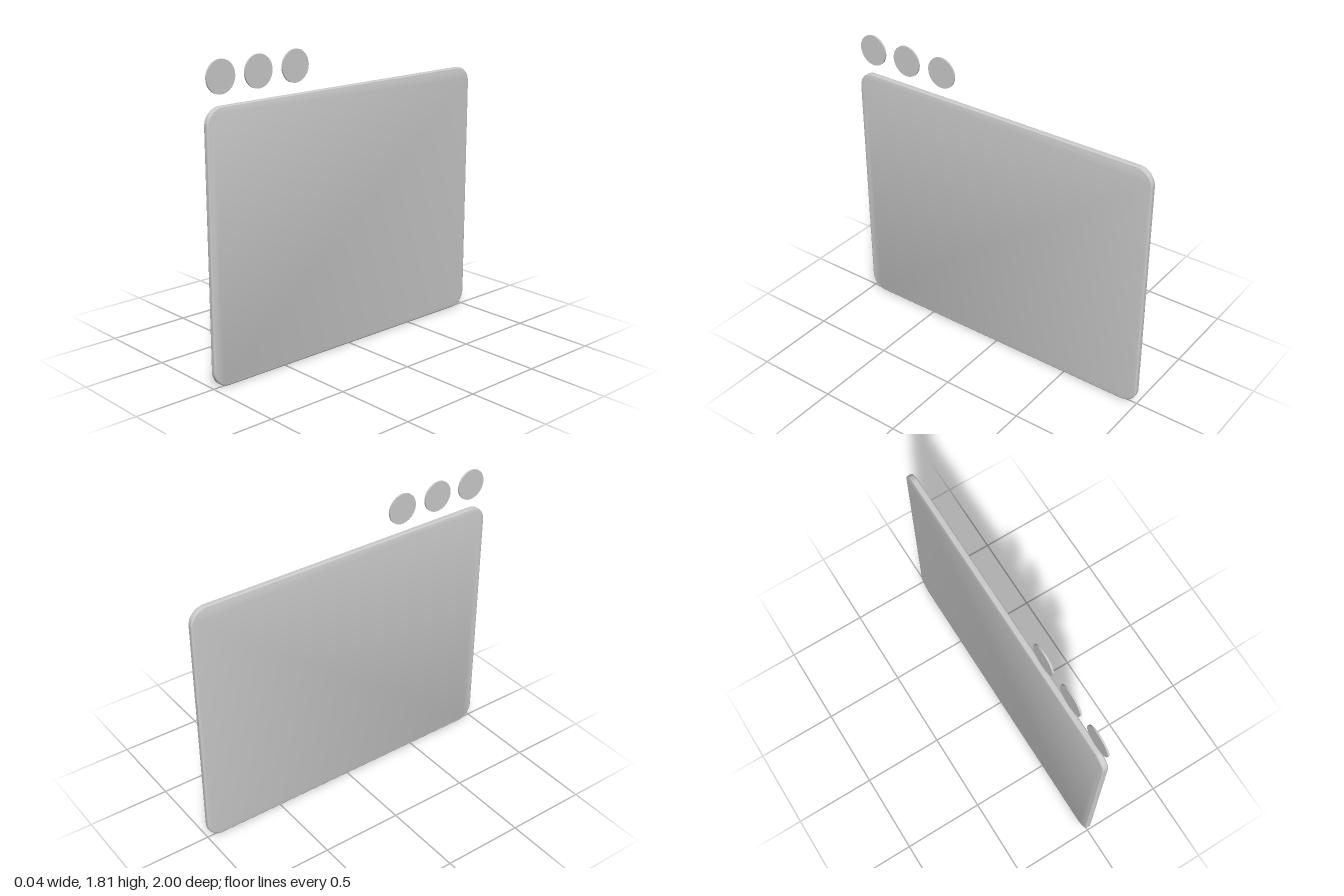
import * as THREE from 'three';
import { toCreasedNormals } from 'three/addons/utils/BufferGeometryUtils.js';

const material = new THREE.MeshStandardMaterial({ color: 0xcccccc });

// Rectangle with rounded corners, standing on y = 0
function roundedRect(width, height, radius, inset) {
  const x = width / 2 - inset, y0 = inset, y1 = height - inset, r = radius - inset;
  const shape = new THREE.Shape();
  shape.absarc(x - r, y0 + r, r, -Math.PI / 2, 0);
  shape.absarc(x - r, y1 - r, r, 0, Math.PI / 2);
  shape.absarc(-x + r, y1 - r, r, Math.PI / 2, Math.PI);
  shape.absarc(-x + r, y0 + r, r, Math.PI, Math.PI * 1.5);
  shape.closePath();
  return shape;
}

export function createModel() {
  const model = new THREE.Group();

  // Thin upright panel with softened edges, broad faces towards +x and -x
  const thickness = 0.036, bevel = 0.01;
  let panelGeometry = new THREE.ExtrudeGeometry(roundedRect(2, 1.565, 0.1, bevel), {
    depth: thickness - 2 * bevel,
    bevelSize: bevel,
    bevelThickness: bevel,
    bevelSegments: 4,
    curveSegments: 12,
  });
  panelGeometry.translate(0, 0, bevel - thickness / 2).rotateY(-Math.PI / 2);
  panelGeometry = toCreasedNormals(panelGeometry, Math.PI / 5);
  const panel = new THREE.Mesh(panelGeometry, material);
  panel.name = 'panel';
  model.add(panel);

  // Row of three thin round buttons above the front corner
  const buttons = new THREE.Group();
  buttons.name = 'buttons';
  const discGeometry = new THREE.CylinderGeometry(0.093, 0.093, 0.01, 48).rotateZ(Math.PI / 2);
  [0.895, 0.645, 0.39].forEach((z, i) => {
    const button = new THREE.Mesh(discGeometry, material);
    button.name = `button${i + 1}`;
    button.position.set(0, 1.718, z);
    buttons.add(button);
  });
  model.add(buttons);

  return model;
}
